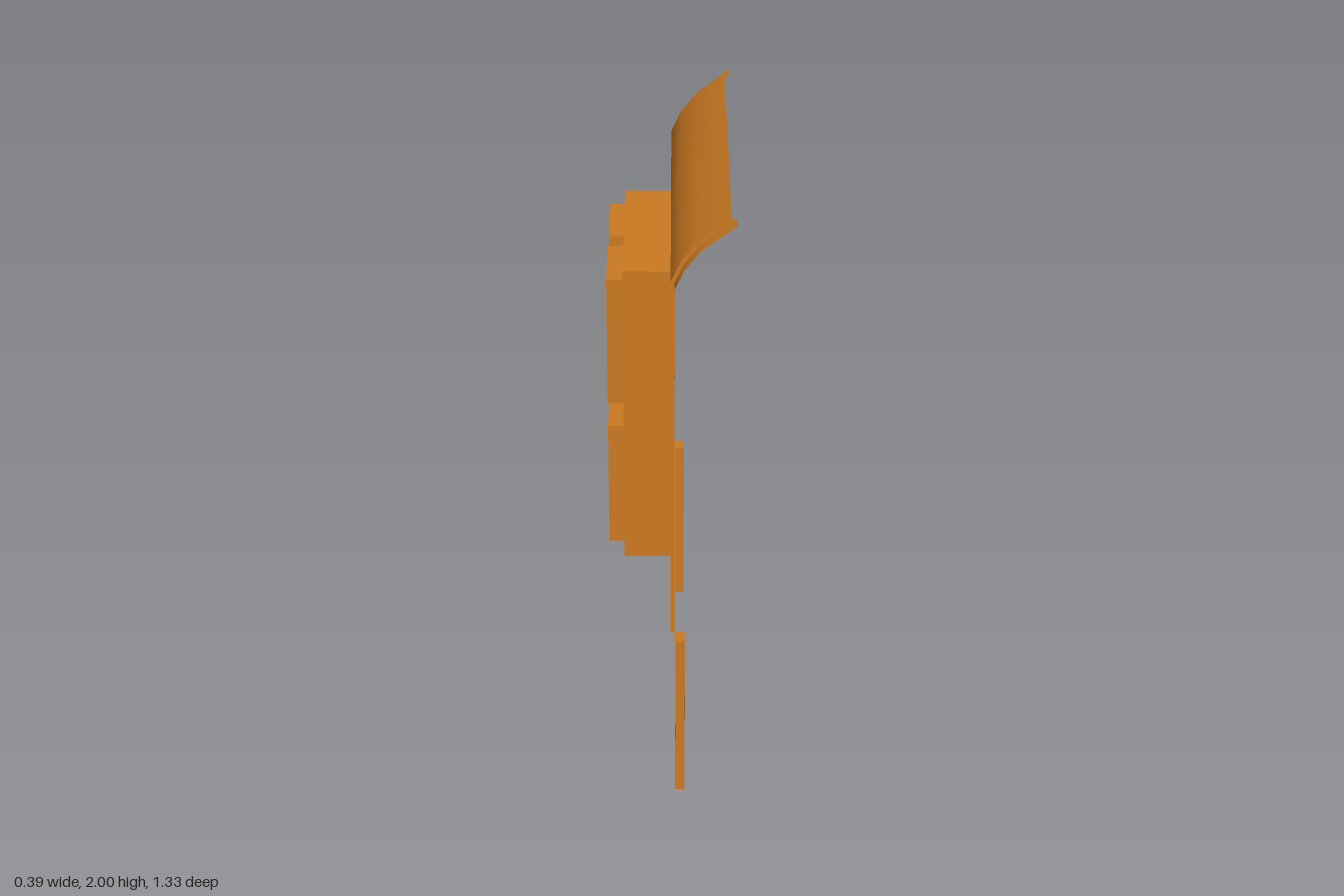
import * as THREE from 'three';
import { toCreasedNormals } from 'three/addons/utils/BufferGeometryUtils.js';

const brown = new THREE.MeshStandardMaterial({ color: 0xcc7a22, side: THREE.DoubleSide });
const green = new THREE.MeshStandardMaterial({ color: 0x0fcc1a, side: THREE.DoubleSide });

// Skin between successive rows of [x, y, z] points
function loft(rows) {
  const n = rows[0].length;
  const index = [];
  for (let r = 0; r < rows.length - 1; r++) {
    for (let i = 0; i < n - 1; i++) {
      const a = r * n + i, b = a + 1, c = a + n, d = c + 1;
      index.push(a, b, d, a, d, c);
    }
  }
  const g = new THREE.BufferGeometry();
  g.setAttribute('position', new THREE.Float32BufferAttribute(rows.flat(2), 3));
  g.setIndex(index);
  return toCreasedNormals(g, 0.7);
}

// Profile in x/y stretched from z0 to z1, facing +x
const sheet = (profile, z0, z1) =>
  loft(profile.map(([x, y]) => [[x, y, z1], [x, y, z0]]));

// Rectangle in z/y, shared by holes, walls and panes
const corners = ({ z0, z1, y0, y1 }) => [[z0, y0], [z1, y0], [z1, y1], [z0, y1]];
const outline = (r) => corners(r).map(([z, y]) => new THREE.Vector2(-z, y));

// Flat plate at a given x, facing +x, with rectangular holes
function plate(rect, x, holes = []) {
  const shape = new THREE.Shape(outline(rect));
  holes.forEach((h) => shape.holes.push(new THREE.Path(outline(h))));
  return new THREE.ShapeGeometry(shape).rotateY(Math.PI / 2).translate(x, 0, 0);
}

// Open four-sided reveal between two depths
function reveal(rect, xa, xb) {
  const loop = [...corners(rect), corners(rect)[0]];
  return loft([xa, xb].map((x) => loop.map(([z, y]) => [x, y, z])));
}

export function createModel() {
  const model = new THREE.Group();
  const add = (parent, name, geometry, material = brown) => {
    const mesh = new THREE.Mesh(geometry, material);
    mesh.name = name;
    parent.add(mesh);
  };

  const inner = 0.615, outer = 0.667, flatTop = 1.75;
  const opening = { z0: -0.325, z1: 0.325, y0: 0.705, y1: 1.703 };

  // Wall and rib profiles, from the floor up to the curved eave
  const wallProfile = [[0.015, 0], [0.015, 0.6], [0, 0.6], [0, flatTop], [0, 1.8],
    [0.03, 1.865], [0.078, 1.927], [0.176, 2]];
  const ribProfile = [[0.045, 0], [0.045, 0.6], [0.012, 0.6], [0.012, flatTop], [0.012, 1.797],
    [0.04, 1.858], [0.086, 1.917], [0.192, 1.997]];

  // Main panel
  add(model, 'lowerPanel', sheet(wallProfile.slice(0, 3), -inner, inner));
  add(model, 'upperPanel', plate({ z0: -inner, z1: inner, y0: 0.6, y1: flatTop }, 0, [opening]));
  add(model, 'curvedEave', sheet(wallProfile.slice(3), -inner, inner));

  // Raised ribs along both ends, with the step down to the panel
  for (const [side, s] of [['left', 1], ['right', -1]]) {
    const rib = new THREE.Group();
    rib.name = side + 'EndRib';
    const [z0, z1] = s > 0 ? [inner, outer] : [-outer, -inner];
    add(rib, 'ribFace', sheet(ribProfile, z0, z1));
    add(rib, 'ribStep', loft([wallProfile, ribProfile].map((p) => p.map(([x, y]) => [x, y, s * inner]))));
    model.add(rib);
  }

  // Window: deep reveal, back frame and four pane pockets
  const windowGroup = new THREE.Group();
  windowGroup.name = 'window';
  model.add(windowGroup);
  const frameX = -0.148, paneX = -0.197;
  const panes = [];
  for (const [z0, z1] of [[-0.3, -0.04], [0.04, 0.3]]) {
    for (const [y0, y1] of [[0.748, 1.163], [1.243, 1.665]]) panes.push({ z0, z1, y0, y1 });
  }
  add(windowGroup, 'windowReveal', reveal(opening, 0, frameX));
  add(windowGroup, 'windowFrame', plate(opening, frameX, panes));
  for (const pane of panes) {
    add(windowGroup, 'paneReveal', reveal(pane, frameX, paneX));
    add(windowGroup, 'pane', plate(pane, paneX), green);
  }
  return model;
}
